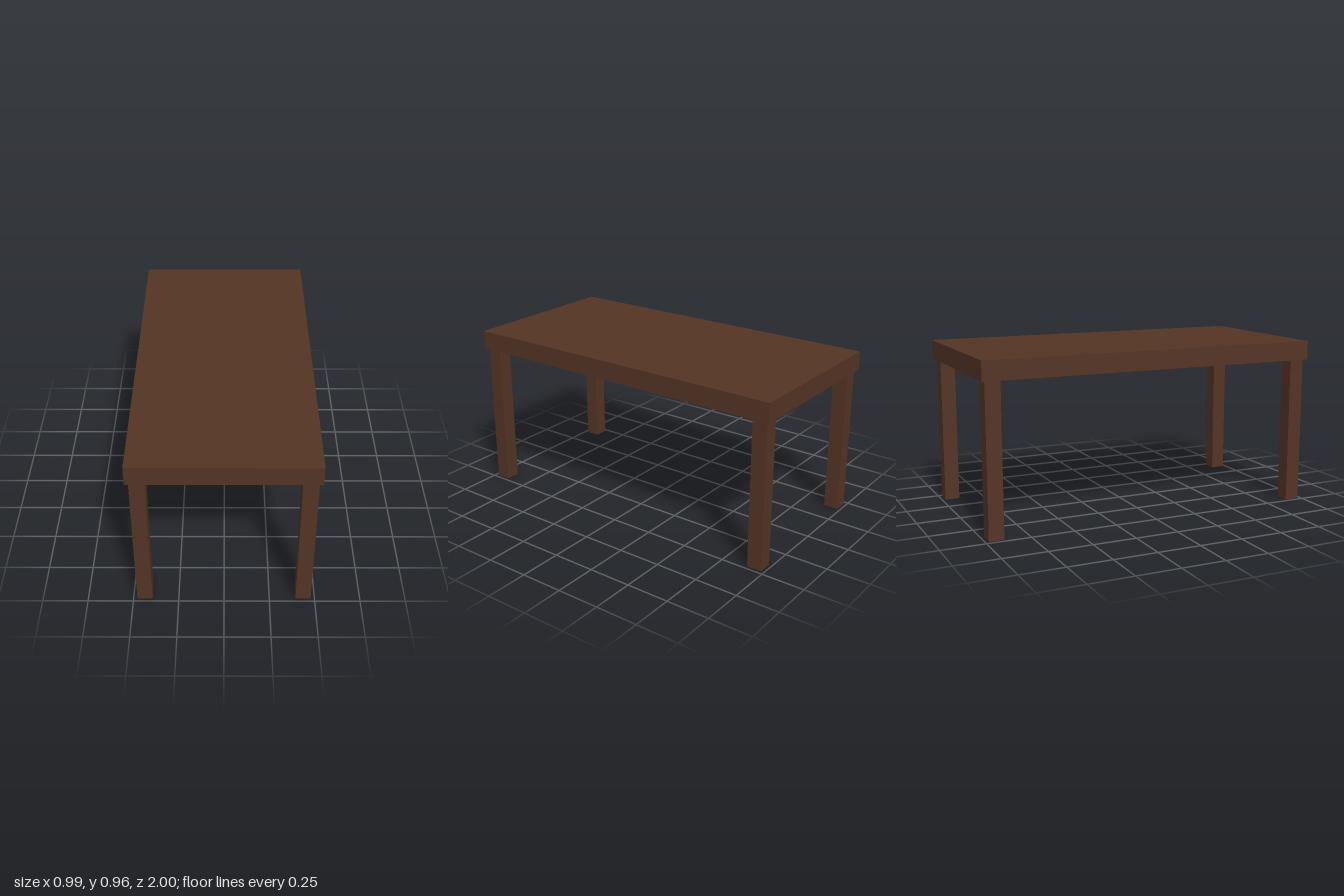
import * as THREE from 'three';

export function createModel() {
  const table = new THREE.Group();
  table.name = 'table';
  const wood = new THREE.MeshStandardMaterial({ color: 0x543424 });
  wood.name = 'dark brown wood';

  const addBox = (name, size, position) => {
    const mesh = new THREE.Mesh(new THREE.BoxGeometry(...size), wood);
    mesh.name = name;
    mesh.position.set(...position);
    table.add(mesh);
  };

  // Thick slab top
  const legHeight = 0.855, topThickness = 0.11;
  addBox('tableTop', [0.994, topThickness, 2], [0, legHeight + topThickness / 2, 0]);

  // Four square legs, slightly inset from the corners
  for (const [side, sx] of [['Left', 1], ['Right', -1]]) {
    for (const [end, sz] of [['front', 1], ['back', -1]]) {
      addBox(`${end}${side}Leg`, [0.084, legHeight, 0.086], [sx * 0.437, legHeight / 2, sz * 0.938]);
    }
  }
  return table;
}
